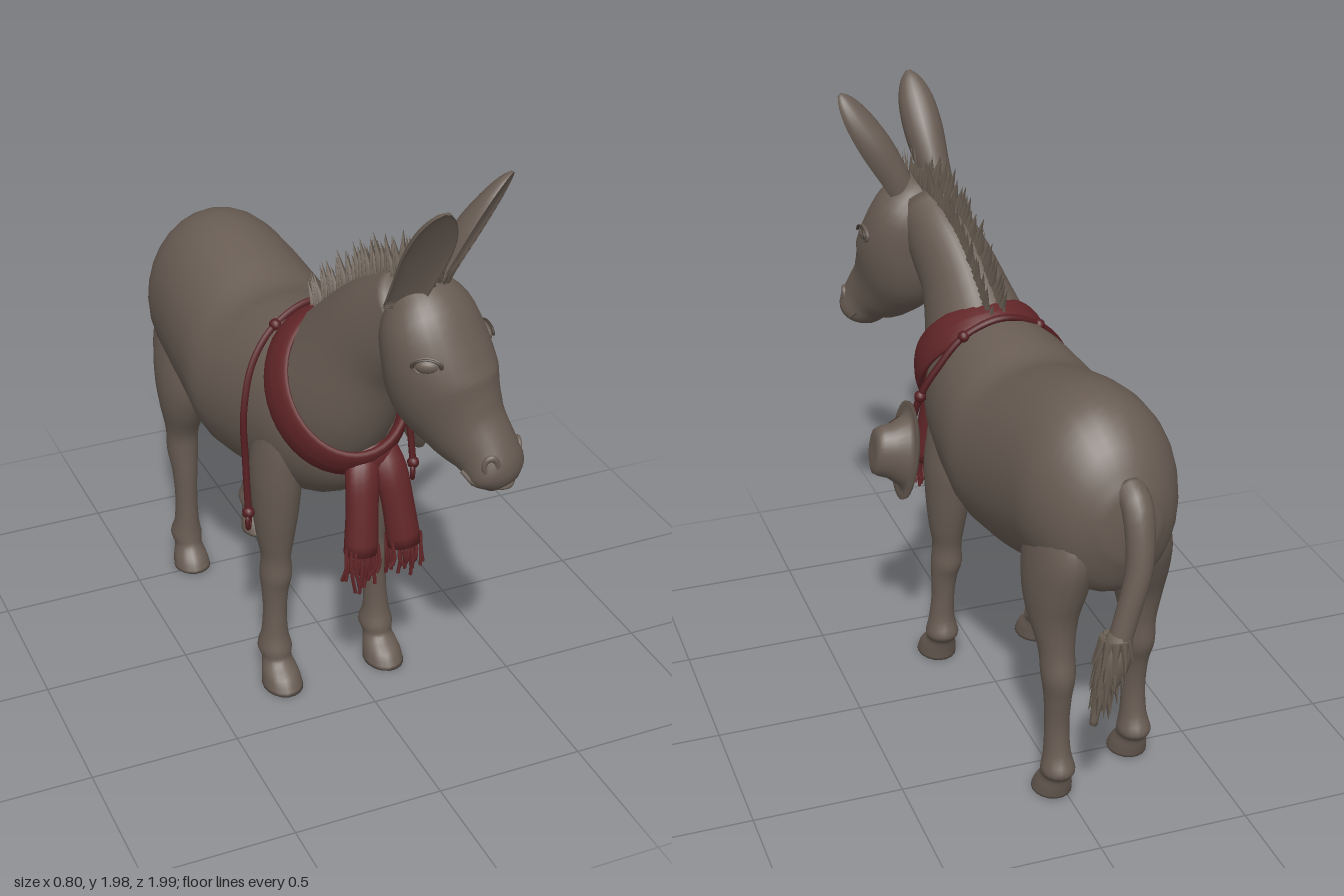
import * as THREE from 'three';
import { mergeGeometries } from 'three/addons/utils/BufferGeometryUtils.js';

const V3 = (a) => new THREE.Vector3(a[0], a[1], a[2]);
const paint = (name, color) => {
  const m = new THREE.MeshStandardMaterial({ color });
  m.name = name;
  return m;
};

// Smooth skin through rows of [x, y, z, half width, half depth]
function loft(rows, { side = [1, 0, 0], along = null, steps = 4, sides = 20, shape = null } = {}) {
  const path = new THREE.CatmullRomCurve3(rows.map(V3), false, 'catmullrom');
  const size = new THREE.CatmullRomCurve3(rows.map((r) => new THREE.Vector3(r[3], r[4], 0)), false, 'catmullrom');
  const n = (rows.length - 1) * steps, pos = [], idx = [], S = V3(side);
  for (let i = 0; i <= n; i++) {
    const p = path.getPoint(i / n), s = size.getPoint(i / n);
    const T = along ? V3(along) : path.getTangent(i / n);
    const V = T.clone().cross(S).normalize(), U = V.clone().cross(T).normalize();
    for (let j = 0; j < sides; j++) {
      const a = (j / sides) * Math.PI * 2;
      const [c, d] = shape ? shape(a) : [Math.cos(a), Math.sin(a)];
      const q = p.clone().addScaledVector(U, c * Math.max(s.x, 0.002)).addScaledVector(V, d * Math.max(s.y, 0.002));
      pos.push(q.x, q.y, q.z);
      if (i < n) {
        const k = (j + 1) % sides, A = i * sides, B = A + sides;
        idx.push(A + j, A + k, B + k, A + j, B + k, B + j);
      }
    }
  }
  // End caps
  const last = n * sides, c0 = pos.length / 3;
  pos.push(...path.getPoint(0).toArray(), ...path.getPoint(1).toArray());
  for (let j = 0; j < sides; j++) {
    const k = (j + 1) % sides;
    idx.push(c0, k, j, c0 + 1, last + j, last + k);
  }
  const g = new THREE.BufferGeometry();
  g.setAttribute('position', new THREE.Float32BufferAttribute(pos, 3));
  g.setIndex(idx);
  g.computeVertexNormals();
  return g;
}

// Thin pointed tuft from one point to another
function spike(from, to, r) {
  const a = V3(from), d = V3(to).sub(a);
  const g = new THREE.ConeGeometry(r, d.length(), 5);
  g.translate(0, d.length() / 2, 0);
  g.applyQuaternion(new THREE.Quaternion().setFromUnitVectors(new THREE.Vector3(0, 1, 0), d.normalize()));
  g.deleteAttribute('uv');
  return g.translate(a.x, a.y, a.z);
}

const tube = (pts, r, n = 32) => new THREE.TubeGeometry(new THREE.CatmullRomCurve3(pts.map(V3)), n, r, 8);

export function createModel() {
  const root = new THREE.Group();
  root.name = 'donkey';
  const hide = paint('hide brown', 0x685c53), hair = paint('mane brown', 0x695e53);
  const red = paint('scarf red', 0x622628), cord = paint('cord red', 0x551e21);
  const felt = paint('hat felt', 0x685c53), dark = paint('lash brown', 0x463c35);
  red.side = THREE.DoubleSide;
  let seed = 7;
  const rnd = () => (seed = (seed * 16807) % 2147483647) / 2147483647;
  const add = (name, geo, mat, parent = root) => {
    const m = new THREE.Mesh(geo, mat);
    m.name = name;
    parent.add(m);
    return m;
  };

  // Trunk: z, centre x, top, bottom, half width
  const trunk = [[0.46, -0.04, 1.08, 0.94, 0.06], [0.41, -0.05, 1.18, 0.83, 0.15], [0.3, -0.06, 1.28, 0.74, 0.215],
    [0.15, -0.07, 1.34, 0.69, 0.255], [0, -0.085, 1.325, 0.67, 0.285], [-0.14, -0.095, 1.3, 0.66, 0.303],
    [-0.3, -0.1, 1.345, 0.67, 0.287], [-0.5, -0.112, 1.39, 0.71, 0.268], [-0.65, -0.12, 1.375, 0.74, 0.248],
    [-0.77, -0.13, 1.28, 0.79, 0.185], [-0.84, -0.14, 1.15, 0.94, 0.09]];
  add('trunk', loft(trunk.map(([z, x, t, b, w]) => [x, (t + b) / 2, z, w, (t - b) / 2]), { along: [0, 0, -1], sides: 28 }), hide);

  // Neck and turned head
  add('neck', loft([[-0.065, 1.08, 0.22, 0.2, 0.27], [-0.055, 1.17, 0.31, 0.188, 0.25], [-0.03, 1.36, 0.435, 0.138, 0.185],
    [0.005, 1.49, 0.555, 0.118, 0.155], [0.03, 1.59, 0.65, 0.095, 0.105]], { sides: 24 }), hide);
  const headX = (z) => 0.008 + 0.6 * (z - 0.62), headSide = [0.87, 0, -0.5];
  const head = [[0.65, 1.665, 0.07, 0.06], [0.69, 1.57, 0.15, 0.13], [0.725, 1.45, 0.172, 0.162], [0.76, 1.335, 0.157, 0.178],
    [0.82, 1.24, 0.118, 0.143], [0.885, 1.17, 0.098, 0.105], [0.925, 1.11, 0.1, 0.082], [0.945, 1.073, 0.055, 0.045]];
  add('head', loft(head.map(([z, y, w, h]) => [headX(z), y, z, w, h]), { side: headSide, sides: 28 }), hide);

  // Cupped ears, hollow toward the front
  const cup = (a) => [Math.cos(a), Math.sin(a) > 0 ? Math.sin(a) : -Math.sin(a) * 0.3];
  const ear = (name, a, b, side) => {
    const A = V3(a), B = V3(b);
    const rows = [[0, 0.055, 0.055], [0.22, 0.06, 0.068], [0.5, 0.069, 0.07], [0.75, 0.062, 0.052], [0.92, 0.038, 0.03], [1, 0.01, 0.01]]
      .map(([t, w, h]) => [...A.clone().lerp(B, t).toArray(), w, h]);
    add(name, loft(rows, { side, shape: cup }), hide);
  };
  ear('rightEar', [-0.045, 1.6, 0.73], [0, 1.975, 0.925], [0.95, 0, 0.25]);
  ear('leftEar', [0.1, 1.6, 0.675], [0.305, 1.975, 0.73], [0.78, 0, -0.6]);

  // Eyes, lids, lashes and nostrils
  for (const [who, s] of [['left', 1], ['right', -1]]) {
    const eye = new THREE.Group();
    eye.name = who + 'Eye';
    eye.position.set(0.108 + s * 0.128, 1.472, 0.785 - s * 0.072);
    eye.rotation.y = 0.52 + s * 1.05;
    root.add(eye);
    add('eyeball', new THREE.SphereGeometry(0.03, 16, 10), hide, eye).scale.set(1.2, 0.75, 0.6);
    add('lidRim', new THREE.TorusGeometry(0.033, 0.008, 6, 20), hide, eye).scale.set(1.25, 0.75, 1);
    const lash = add('lashes', new THREE.TorusGeometry(0.036, 0.005, 6, 14, Math.PI), dark, eye);
    lash.scale.set(1.2, 0.75, 1);
    lash.position.z = 0.012;
    const n = add(who + 'Nostril', new THREE.TorusGeometry(0.02, 0.009, 8, 16), hide);
    n.position.set(0.2 + s * 0.064, 1.168, 0.947 - s * 0.037);
    n.rotation.y = 0.52 + s * 0.8;
    n.scale.y = 1.3;
  }
  const mouth = [[-0.097, 1.13, 0.87], [-0.087, 1.095, 0.91], [0, 1.073, 0.965], [0.087, 1.095, 0.91], [0.097, 1.13, 0.87]]
    .map(([s, y, z]) => [headX(z) + s * 0.87, y, z - s * 0.5]);
  add('lipLine', tube(mouth, 0.007), hide);

  // Legs: y, z, half width, half depth, inward lean, centred on x
  const leg = (name, x, mirror, rows) =>
    add(name, loft(rows.map(([y, z, w, h, dx = 0]) => [x + dx * mirror, y, z, w, h]), { along: [0, -1, 0], sides: 18 }), hide);
  const fore = [[1.12, 0.2, 0.02, 0.04, -0.06], [0.98, 0.205, 0.065, 0.11, -0.045], [0.82, 0.2, 0.083, 0.115, -0.03], [0.68, 0.2, 0.077, 0.1, -0.025],
    [0.56, 0.202, 0.062, 0.078, -0.02], [0.48, 0.205, 0.05, 0.062, -0.02], [0.41, 0.205, 0.054, 0.064, -0.018], [0.35, 0.208, 0.046, 0.05, -0.01],
    [0.27, 0.21, 0.04, 0.044, -0.005], [0.18, 0.212, 0.045, 0.048], [0.12, 0.21, 0.058, 0.066],
    [0.085, 0.228, 0.05, 0.056], [0.045, 0.26, 0.062, 0.075], [0, 0.28, 0.068, 0.085]];
  const hind = [[1.2, -0.6, 0.02, 0.05, -0.07], [1.02, -0.61, 0.08, 0.15, -0.04], [0.9, -0.622, 0.1, 0.178, -0.025], [0.78, -0.622, 0.1, 0.155, -0.012],
    [0.67, -0.637, 0.08, 0.11], [0.56, -0.675, 0.058, 0.07], [0.47, -0.695, 0.055, 0.066], [0.39, -0.695, 0.045, 0.052], [0.28, -0.69, 0.04, 0.043],
    [0.18, -0.695, 0.044, 0.05], [0.12, -0.705, 0.056, 0.066], [0.085, -0.687, 0.049, 0.058], [0.045, -0.665, 0.06, 0.07], [0.008, -0.65, 0.066, 0.075]];
  leg('leftForeleg', 0.13, 1, fore);
  leg('rightForeleg', -0.248, -0.5, fore);
  leg('leftHindLeg', 0.035, 1, hind);
  leg('rightHindLeg', -0.285, -1, hind.map(([y, z, ...r]) => [y, z + 0.13 * Math.min(1, Math.max(0, (1.05 - y) * 1.5)), ...r]));

  // Bristly mane in two rows, with a forelock
  const crest = new THREE.CatmullRomCurve3([[-0.06, 1.33, 0.17], [-0.045, 1.47, 0.31], [-0.02, 1.585, 0.45], [0.015, 1.665, 0.58], [0.04, 1.665, 0.69]].map(V3));
  const bristles = [];
  for (let i = 0; i < 34; i++) for (const s of [-1, 1]) {
    const p = crest.getPoint(i / 33), l = 0.065 + 0.07 * rnd();
    const x = p.x + s * 0.022;
    bristles.push(spike([x, p.y - 0.02, p.z], [x + s * 0.008 + 0.02 * (rnd() - 0.5), p.y + l * 0.8, p.z - l * (0.5 - i * 0.01)], 0.02));
  }
  for (let i = 0; i < 14; i++) {
    const x = 0.02 + 0.09 * rnd();
    bristles.push(spike([x, 1.63, 0.71], [x + 0.06 * (rnd() - 0.5), 1.7 + 0.07 * rnd(), 0.74 + 0.05 * rnd()], 0.009));
  }
  add('mane', mergeGeometries(bristles), hair);

  // Tail with layered tuft
  add('tail', loft([[-0.14, 1.16, -0.79, 0.05, 0.05], [-0.148, 1.11, -0.86, 0.05, 0.045], [-0.14, 0.95, -0.905, 0.043, 0.043],
    [-0.1, 0.8, -0.92, 0.038, 0.038], [-0.06, 0.66, -0.925, 0.038, 0.038]], { sides: 14 }), hide);
  const tuft = [loft([[-0.075, 0.73, -0.925, 0.035, 0.035], [-0.055, 0.65, -0.925, 0.055, 0.055],
    [-0.03, 0.55, -0.92, 0.038, 0.038], [-0.01, 0.48, -0.912, 0.018, 0.018], [0, 0.41, -0.91, 0.013, 0.013]], { sides: 10 })];
  for (let layer = 0; layer < 4; layer++) for (let i = 0; i < 10; i++) {
    const a = (i + layer * 0.5) * 0.628, r = 0.037 - layer * 0.006, y = 0.72 - layer * 0.055, x = -0.06 + layer * 0.012;
    tuft.push(spike([x + r * Math.cos(a), y, -0.925 + r * Math.sin(a)],
      [x + 0.012 + 1.8 * r * Math.cos(a), y - 0.08 - 0.04 * rnd(), -0.925 + 1.8 * r * Math.sin(a)], 0.017));
  }
  add('tailTuft', mergeGeometries(tuft), hair);

  // Scarf collar, knot and two fringed ends
  const band = [];
  for (let i = 0; i <= 16; i++) {
    const a = (i / 16) * Math.PI * 2;
    band.push(new THREE.Vector2(0.217 + 0.02 * Math.cos(a) - 0.014 * Math.sin(a), 0.07 * Math.sin(a)));
  }
  const collar = add('scarfCollar', new THREE.LatheGeometry(band, 40), red);
  collar.position.set(-0.055, 1.145, 0.32);
  collar.rotation.x = 0.9;
  collar.scale.set(0.98, 1, 1.17);
  const knot = add('scarfKnot', new THREE.SphereGeometry(0.06, 16, 12), red);
  knot.position.set(-0.012, 0.955, 0.475);
  knot.scale.set(1.4, 1, 0.65);
  const fringe = [];
  for (const [who, x0, x1] of [['left', 0.04, 0.075], ['right', -0.055, -0.078]]) {
    add(who + 'ScarfEnd', loft([[x0 * 0.6, 0.99, 0.45, 0.05, 0.035], [x0, 0.91, 0.495, 0.058, 0.042],
      [(x0 + x1) / 2, 0.8, 0.52, 0.054, 0.044], [x1, 0.65, 0.54, 0.057, 0.05]], { sides: 14 }), red);
    for (let i = 0; i < 22; i++) {
      const x = x1 + 0.11 * (i / 21 - 0.5), z = 0.5 + 0.08 * rnd();
      fringe.push(tube([[x, 0.68, z], [x + 0.012 * (rnd() - 0.5), 0.61, z + 0.01], [x + 0.03 * (rnd() - 0.5), 0.52 + 0.07 * rnd(), z + 0.02 * (rnd() - 0.3)]], 0.006, 5));
    }
  }
  add('scarfFringe', mergeGeometries(fringe), red);

  // Cord over the withers with knots and end loops
  const line = [[-0.35, 0.7, 0.25], [-0.345, 0.87, 0.22], [-0.34, 1.05, 0.2], [-0.29, 1.2, 0.16], [-0.2, 1.3, 0.13],
    [-0.06, 1.352, 0.11], [0.07, 1.3, 0.12], [0.155, 1.2, 0.13], [0.215, 1.09, 0.15], [0.245, 0.9, 0.2], [0.25, 0.74, 0.235]];
  add('cord', tube(line, 0.012, 80), cord);
  for (const i of [0, 4, 6, 8, 10]) {
    add('cordKnot', new THREE.SphereGeometry(0.021, 10, 8), cord).position.set(...line[i]);
  }
  for (const [x, y, z] of [line[0], line[10]]) {
    const loop = add('cordLoop', new THREE.TorusGeometry(0.018, 0.008, 6, 16), cord);
    loop.position.set(x, y - 0.032, z);
    loop.rotation.y = 1.0;
    loop.scale.y = 1.4;
  }

  // Hat hung on the left side
  const hat = new THREE.Group();
  hat.name = 'hat';
  hat.position.set(0.275, 0.91, 0.125);
  hat.rotation.z = -Math.PI / 2 + 0.14;
  root.add(hat);
  const profile = [[0.001, 0.116], [0.055, 0.12], [0.08, 0.113], [0.089, 0.095], [0.097, 0.062], [0.126, 0.018], [0.136, 0.008], [0.157, 0.004],
    [0.175, 0.01], [0.173, 0], [0.14, -0.012], [0.001, -0.012]].map(([r, y]) => new THREE.Vector2(r, y)).reverse();
  add('hatShell', new THREE.LatheGeometry(profile, 32), felt, hat).scale.z = 0.74;
  const ribbon = add('hatBand', new THREE.CylinderGeometry(0.1, 0.129, 0.044, 24, 1, true, -0.9, 2.1), red, hat);
  ribbon.position.y = 0.041;
  ribbon.scale.z = 0.74;
  return root;
}
